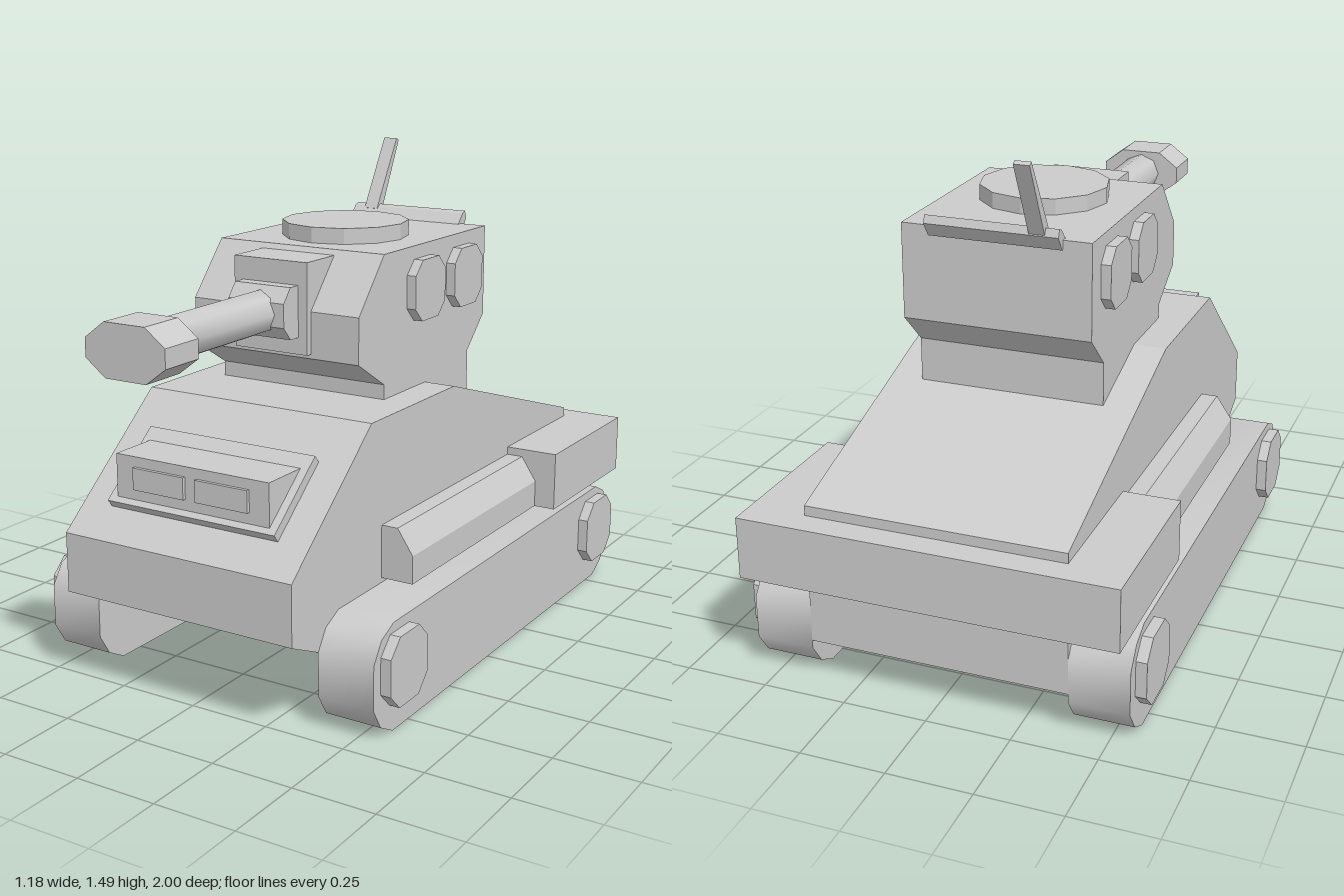
import * as THREE from 'three';
import { toCreasedNormals } from 'three/addons/utils/BufferGeometryUtils.js';

const material = new THREE.MeshStandardMaterial({ color: 0xcccccc });

function add(parent, name, geometry, crease = 0.3) {
  const mesh = new THREE.Mesh(toCreasedNormals(geometry, crease), material);
  mesh.name = name;
  parent.add(mesh);
  return mesh;
}

// Extrudes a list of [a, b] points to the given depth along z
function extrude(points, depth) {
  const shape = new THREE.Shape(points.map(([a, b]) => new THREE.Vector2(a, b)));
  return new THREE.ExtrudeGeometry(shape, { depth, bevelEnabled: false });
}

// Side profile of [z, y] points, spanning x0 to x1
function across(points, x0, x1) {
  return extrude(points, x1 - x0).rotateY(-Math.PI / 2).translate(x1, 0, 0);
}

// Box given by its limits
function box(x0, x1, y0, y1, z0, z1) {
  return new THREE.BoxGeometry(x1 - x0, y1 - y0, z1 - z0)
    .translate((x0 + x1) / 2, (y0 + y1) / 2, (z0 + z1) / 2);
}

// Rectangle with cut corners
function octagon(u, v, hw, hh, cu, cv = cu) {
  return [
    [u - hw + cu, v - hh], [u + hw - cu, v - hh], [u + hw, v - hh + cv], [u + hw, v + hh - cv],
    [u + hw - cu, v + hh], [u - hw + cu, v + hh], [u - hw, v + hh - cv], [u - hw, v - hh + cv],
  ];
}

export function createModel() {
  const model = new THREE.Group();
  model.name = 'tank';

  // Hull
  const hull = new THREE.Group();
  hull.name = 'hull';
  model.add(hull);
  add(hull, 'hullBody', across([
    [0.82, 0.47], [0.41, 0.81], [-0.08, 0.81], [-0.92, 0.55],
    [-0.92, 0.125], [0.46, 0.125], [0.82, 0.29],
  ], -0.385, 0.385));
  add(hull, 'rearDeck', box(-0.555, 0.555, 0.335, 0.52, -1, -0.47));

  // Front vision box on its sloping plate
  add(hull, 'visionPlate', across([
    [0.75, 0.565], [0.545, 0.735], [0.525, 0.71], [0.73, 0.54],
  ], -0.285, 0.285));
  add(hull, 'visionBox', across([
    [0.735, 0.575], [0.735, 0.705], [0.55, 0.705], [0.69, 0.575],
  ], -0.26, 0.26));

  // Running gear and side hatches, mirrored
  for (const side of [-1, 1]) {
    const span = (points, inner, outer) =>
      across(points, Math.min(side * inner, side * outer), Math.max(side * inner, side * outer));

    add(hull, 'visionSlot', box(side * 0.1075 - 0.0875, side * 0.1075 + 0.0875, 0.61, 0.675, 0.72, 0.746));

    add(model, 'track', span([
      [0.585, 0], [-0.81, 0], [-0.875, 0.035], [-0.92, 0.1], [-0.92, 0.23], [-0.875, 0.29], [-0.81, 0.32],
      [0.585, 0.32], [0.65, 0.29], [0.69, 0.23], [0.69, 0.1], [0.65, 0.035],
    ], 0.385, 0.56), 0.8);
    for (const z of [0.55, -0.775]) {
      add(model, 'wheelHub', span(octagon(z, 0.187, 0.103, 0.104, 0.05), 0.55, 0.592));
    }

    // Bevelled side skirt above the track
    add(model, 'sideSkirt', extrude([
      [side * 0.37, 0.335], [side * 0.487, 0.335], [side * 0.487, 0.42],
      [side * 0.437, 0.495], [side * 0.37, 0.495],
    ], 0.83).translate(0, 0, -0.48));
  }

  // Turret
  const turret = new THREE.Group();
  turret.name = 'turret';
  model.add(turret);
  add(turret, 'turretBody', across([
    [0.17, 0.7], [0.17, 0.855], [0.315, 0.942], [0.315, 1.08], [0.175, 1.24],
    [-0.465, 1.24], [-0.465, 0.955], [-0.36, 0.855], [-0.36, 0.7],
  ], -0.285, 0.285));
  for (const side of [-1, 1]) {
    for (const z of [-0.053, -0.3]) {
      const x0 = side < 0 ? -0.315 : 0.27;
      add(turret, 'sideHatch', across(octagon(z, 1.108, 0.092, 0.092, 0.042), x0, x0 + 0.045));
    }
  }
  add(turret, 'topHatch', new THREE.CylinderGeometry(0.194, 0.194, 0.055, 12).translate(0, 1.26, -0.08));

  // Gun
  const gun = new THREE.Group();
  gun.name = 'gun';
  turret.add(gun);
  add(gun, 'mantlet', box(-0.125, 0.125, 0.955, 1.225, 0.17, 0.335));
  add(gun, 'gunCollar', across([
    [0.32, 1.005], [0.375, 1.005], [0.41, 1.045], [0.41, 1.115], [0.375, 1.157], [0.32, 1.157],
  ], -0.095, 0.095));
  add(gun, 'barrel', new THREE.CylinderGeometry(0.064, 0.064, 0.5, 8)
    .rotateX(Math.PI / 2).translate(0, 1.08, 0.63), 0.9);
  add(gun, 'muzzle', extrude(octagon(0, 1.08, 0.13, 0.075, 0.064, 0.048), 0.14).translate(0, 0, 0.86));

  // Aerial and its mounting bar
  add(turret, 'aerialBar', across([
    [-0.44, 1.235], [-0.475, 1.272], [-0.49, 1.278], [-0.5, 1.255], [-0.47, 1.212],
  ], -0.2, 0.2));
  add(turret, 'aerial', across([
    [-0.465, 1.265], [-0.592, 1.485], [-0.606, 1.478], [-0.497, 1.255],
  ], -0.16, -0.113));

  return model;
}
